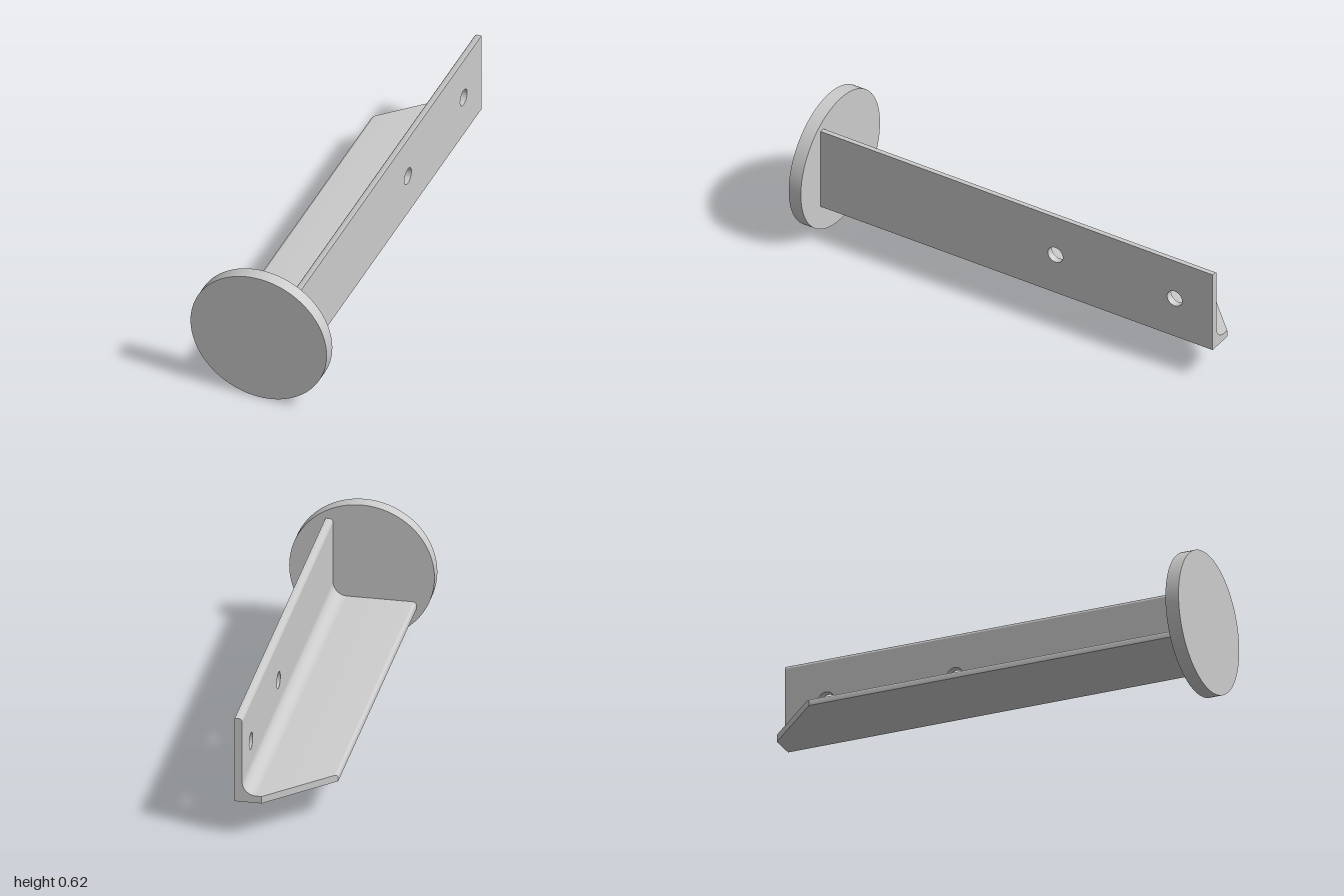
import * as THREE from 'three';
import { toCreasedNormals } from 'three/addons/utils/BufferGeometryUtils.js';

const material = new THREE.MeshStandardMaterial({ color: 0xcccccc });

// Angle section: outer faces, leg thickness, root fillet and toe rounding
const LEFT = -0.233, RIGHT = 0.155, BOTTOM = 0.158, TOP = 0.544;
const T = 0.032, FILLET = 0.06, TOE = 0.016;
const BACK = -1, FRONT = 0.94;
const INNER_X = RIGHT - T, INNER_Y = BOTTOM + T;
const MITRE_X = 0.04, MITRE_LENGTH = 0.27;
const WEB_LOW = INNER_Y + FILLET, WEB_HIGH = TOP - TOE;

function addMesh(group, name, geometry) {
  const mesh = new THREE.Mesh(toCreasedNormals(geometry, 0.6), material);
  mesh.name = name;
  group.add(mesh);
  return mesh;
}

// Extrudes a section in x/y along the whole bar
function extrudeBar(shape) {
  return new THREE.ExtrudeGeometry(shape, { depth: FRONT - BACK, bevelEnabled: false, curveSegments: 12 })
    .translate(0, 0, BACK);
}

export function createModel() {
  const model = new THREE.Group();
  model.name = 'angleBracket';

  // Round end plate
  const plate = new THREE.CylinderGeometry(0.31, 0.31, 0.06, 96).rotateX(Math.PI / 2);
  addMesh(model, 'endPlate', plate).position.set(0, 0.31, 0.97);

  const bar = new THREE.Group();
  bar.name = 'angleBar';
  model.add(bar);

  // Corner of the angle with its inner fillet
  const root = new THREE.Shape();
  root.moveTo(MITRE_X, BOTTOM);
  root.lineTo(RIGHT, BOTTOM);
  root.lineTo(RIGHT, WEB_LOW);
  root.lineTo(INNER_X, WEB_LOW);
  root.absarc(INNER_X - FILLET, WEB_LOW, FILLET, 0, -Math.PI / 2, true);
  root.lineTo(MITRE_X, INNER_Y);
  addMesh(bar, 'filletedCorner', extrudeBar(root));

  // Horizontal leg with rounded toe; its back end is slanted into a mitre
  const leg = new THREE.Shape();
  leg.moveTo(MITRE_X, BOTTOM);
  leg.lineTo(MITRE_X, INNER_Y);
  leg.lineTo(LEFT + TOE, INNER_Y);
  leg.absarc(LEFT + TOE, INNER_Y - TOE, TOE, Math.PI / 2, Math.PI, false);
  leg.lineTo(LEFT, BOTTOM);
  const legGeometry = extrudeBar(leg);
  const p = legGeometry.attributes.position;
  for (let i = 0; i < p.count; i++) {
    if (p.getZ(i) < 0) {
      p.setZ(i, BACK + MITRE_LENGTH * (MITRE_X - p.getX(i)) / (MITRE_X - LEFT));
    }
  }
  addMesh(bar, 'horizontalLeg', legGeometry);

  // Vertical leg drawn in (-z, y), with two bolt holes
  const web = new THREE.Shape();
  web.moveTo(-FRONT, WEB_LOW);
  web.lineTo(-BACK, WEB_LOW);
  web.lineTo(-BACK, WEB_HIGH);
  web.lineTo(-FRONT, WEB_HIGH);
  for (const z of [-0.222, -0.812]) {
    const hole = new THREE.Path();
    hole.absarc(-z, 0.351, 0.037, 0, Math.PI * 2, true);
    web.holes.push(hole);
  }
  const webGeometry = new THREE.ExtrudeGeometry(web, { depth: T, bevelEnabled: false, curveSegments: 32 })
    .rotateY(Math.PI / 2).translate(INNER_X, 0, 0);
  addMesh(bar, 'verticalLeg', webGeometry);

  // Rounded upper toe of the vertical leg
  const toe = new THREE.Shape();
  toe.moveTo(INNER_X, WEB_HIGH);
  toe.lineTo(RIGHT, WEB_HIGH);
  toe.lineTo(RIGHT, TOP);
  toe.lineTo(INNER_X + TOE, TOP);
  toe.absarc(INNER_X + TOE, WEB_HIGH, TOE, Math.PI / 2, Math.PI, false);
  addMesh(bar, 'verticalLegToe', extrudeBar(toe));

  return model;
}
